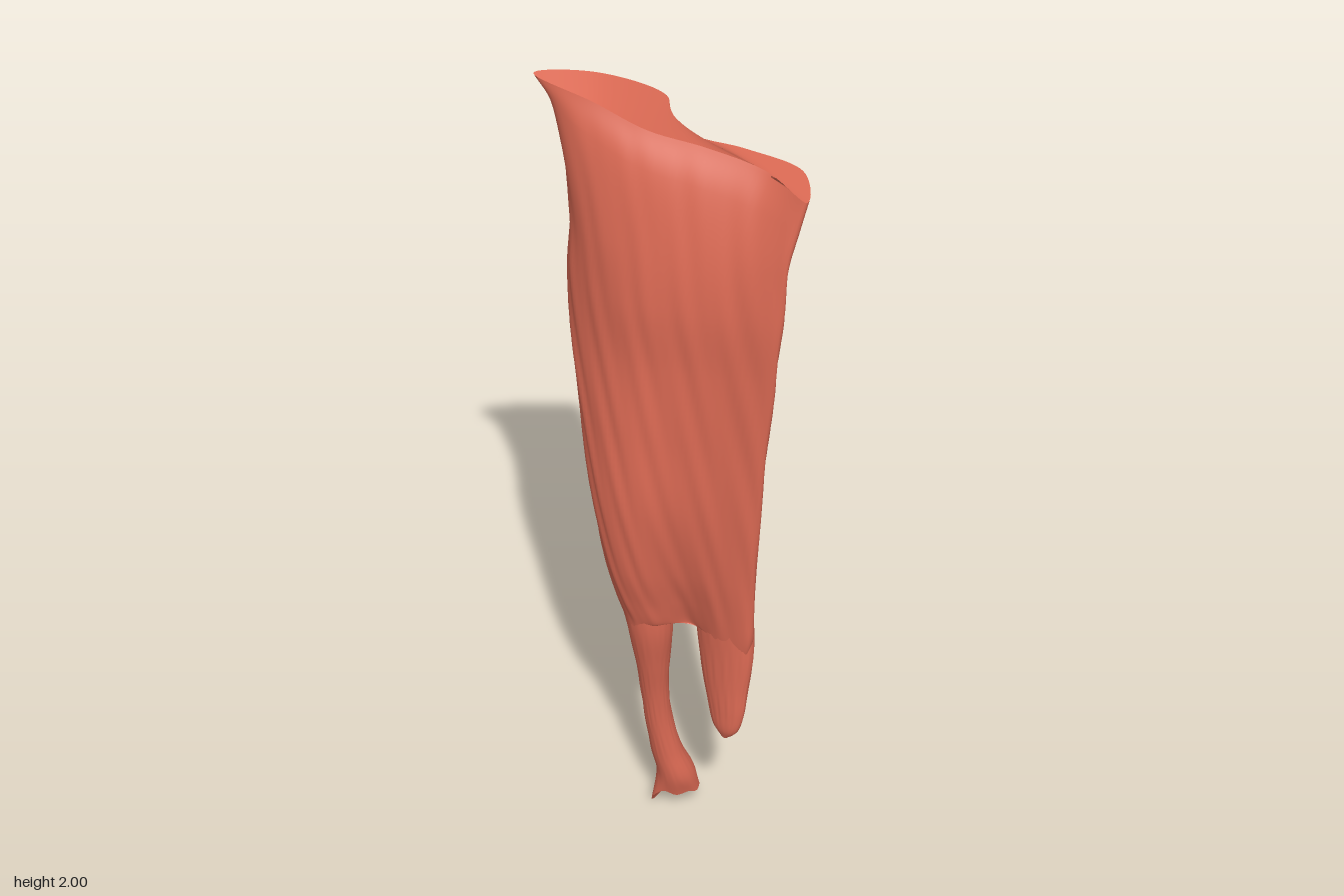
import * as THREE from 'three';

const V = (x, y, z) => new THREE.Vector3(x, y, z);
const { lerp } = THREE.MathUtils;
const material = new THREE.MeshStandardMaterial({ color: 0xdc6a54, side: THREE.DoubleSide });

// Smooth skin over closed rings (top to bottom, counter-clockwise from above), capped at both ends.
function loft(name, rings, rows, cols, relief) {
  const columns = rings[0].map((_, k) => new THREE.CatmullRomCurve3(rings.map(r => r[k])));
  const pos = [], index = [];
  for (let i = 0; i <= rows; i++) {
    const loop = new THREE.CatmullRomCurve3(columns.map(c => c.getPoint(i / rows)), true);
    for (let j = 0; j < cols; j++) {
      const p = loop.getPoint(j / cols);
      const t = loop.getTangent(j / cols);
      const n = V(-t.z, 0, t.x).normalize();
      // shallow slanting fibre grooves, fading out at the ends
      const fade = Math.sin(Math.PI * i / rows);
      const a = 2 * Math.PI * j / cols;
      const wave = Math.sin(17 * a + 24 * p.y) + 0.6 * Math.sin(29 * a + 31 * p.y + 1);
      p.addScaledVector(n, relief * fade * wave);
      pos.push(p.x, p.y, p.z);
    }
  }
  for (let i = 0; i < rows; i++) for (let j = 0; j < cols; j++) {
    const k = (j + 1) % cols;
    const a = i * cols + j, b = i * cols + k, c = a + cols, d = b + cols;
    index.push(a, c, b, b, c, d);
  }
  // caps bridge the front half of a ring to its back half, with their own rim vertices
  for (const top of [true, false]) {
    const from = top ? 0 : rows * cols, start = pos.length / 3;
    pos.push(...pos.slice(from * 3, (from + cols) * 3));
    for (let j = 0; j < cols / 2; j++) {
      const a = start + j, b = a + 1;
      const d = start + (cols - j) % cols, c = start + cols - j - 1;
      if (top) index.push(a, b, c, a, c, d);
      else index.push(a, c, b, a, d, c);
    }
  }
  const g = new THREE.BufferGeometry();
  g.setAttribute('position', new THREE.Float32BufferAttribute(pos, 3));
  g.setIndex(index);
  g.computeVertexNormals();
  const mesh = new THREE.Mesh(g, material);
  mesh.name = name;
  return mesh;
}

// Ellipse ring: height, centre x and z, radii
function ellipse([y, cx, cz, rx, rz]) {
  return Array.from({ length: 12 }, (_, k) => {
    const a = k * Math.PI / 6;
    return V(cx - rx * Math.cos(a), y, cz + rz * Math.sin(a));
  });
}

export function createModel() {
  const group = new THREE.Group();
  group.name = 'muscle';

  // Flared, sloping upper rim
  const rim = [
    [-.24, 2.0, .145], [-.15, 1.94, .075], [-.05, 1.895, .03], [.06, 1.872, -.025],
    [.17, 1.843, -.07], [.27, 1.812, -.07], [.2, 1.822, -.145], [.09, 1.85, -.1],
    [0, 1.865, -.055], [-.08, 1.875, -.075], [-.12, 1.885, -.11], [-.188, 1.968, .02],
  ].map(p => V(...p));

  // Belly sections (x as a fraction of the width, z): thick on one side, thinning to a sheet
  const upper = [
    [.10, .08], [.26, .105], [.46, .1], [.64, .064], [.82, .016], [1, -.035],
    [.9, -.065], [.73, -.07], [.56, -.09], [.4, -.116], [.22, -.125], [0, -.01],
  ];
  // Lower down: a round cord beside a flat strip
  const lower = [
    [.04, .035], [.18, .052], [.33, .03], [.5, -.03], [.77, -.032], [1, -.055],
    [.93, -.09], [.75, -.104], [.53, -.106], [.3, -.075], [.14, -.06], [0, -.005],
  ];
  // Height, left x, right x, front z, back z, blend towards the lower section
  const levels = [
    [1.66, -.262, .25, .107, -.125, 0], [1.53, -.273, .245, .106, -.124, 0],
    [1.38, -.268, .23, .106, -.123, .02], [1.2, -.237, .21, .12, -.124, .1],
    [1.0, -.2, .192, .138, -.13, .25], [.82, -.164, .176, .168, -.13, .6],
    [.72, -.146, .168, .2, -.12, .85], [.65, -.136, .162, .1, -.1, 1],
  ];
  const belly = levels.map(([y, l, r, f, b, w]) => upper.map(([u, z], k) => V(
    lerp(l, r, lerp(u, lower[k][0], w)), y,
    lerp(z > 0 ? z * f / .105 : z * b / -.125, lower[k][1], w))));
  // the thin side starts leaning back well below the rim
  [2, 3, 4, 5, 6].forEach(k => { belly[0][k].z = lerp(belly[0][k].z, rim[k].z, .2); });
  // neck just under the rim
  const neck = rim.map((p, k) => {
    const q = p.clone().lerp(belly[0][k], k === 11 ? .4 : .5);
    q.y = p.y - .07;
    return q;
  });
  // lower end closes in on the two tails, arching up between them
  const arch = belly.at(-1).map((p, k) => {
    const q = p.clone().lerp(k > 2 && k < 9 ? V(.083, 0, -.066) : V(-.083, 0, -.003), .22);
    q.y = [2, 3, 8, 9].includes(k) ? .64 : .59;
    return q;
  });
  group.add(loft('belly', [rim, neck, ...belly, arch], 110, 120, .0016));

  // Long tendon, sweeping backward and spreading at its ragged foot
  const tendon = [
    [.78, -.085, .005, .05, .053], [.7, -.083, .001, .054, .054], [.61, -.081, -.005, .051, .05],
    [.5, -.085, -.017, .038, .038], [.4, -.092, -.031, .032, .031], [.3, -.093, -.047, .031, .031],
    [.2, -.088, -.067, .037, .035], [.12, -.08, -.09, .045, .044],
  ].map(ellipse);
  const foot = ellipse([.06, -.085, -.095, .05, .04]).map((p, k) => {
    const s = (p.x + .085) / .05;
    p.y += s < 0 ? -.06 * s * s : (k % 2 ? .008 : 0);
    p.z -= .018 * s;
    return p;
  });
  group.add(loft('tendon', [...tendon, foot], 60, 48, .001));

  // Short rounded slip beside the tendon
  const slip = [
    [.76, .09, -.066, .062, .028], [.68, .081, -.068, .078, .035], [.59, .085, -.067, .074, .034],
    [.5, .09, -.062, .06, .029], [.43, .097, -.057, .048, .024], [.38, .1, -.052, .032, .017],
    [.352, .1, -.05, .008, .006],
  ].map(ellipse);
  group.add(loft('lowerSlip', slip, 40, 48, .001));

  return group;
}
